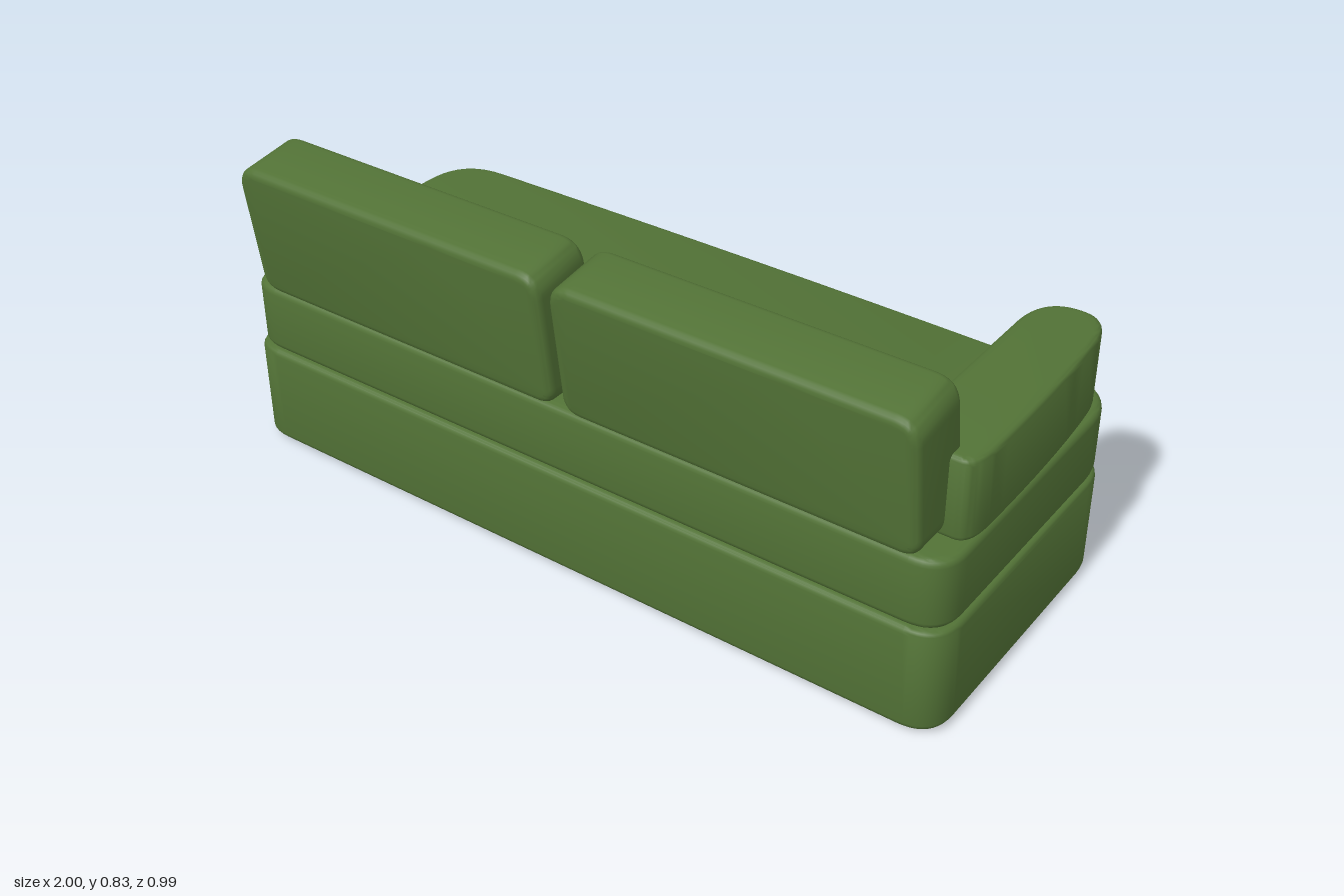
import * as THREE from 'three';
import { toCreasedNormals } from 'three/addons/utils/BufferGeometryUtils.js';

const fabric = new THREE.MeshStandardMaterial({ color: 0x527236 });
fabric.name = 'greenFabric';
const wood = new THREE.MeshStandardMaterial({ color: 0x704523 });
wood.name = 'brownWood';
const patchCloth = new THREE.MeshStandardMaterial({ color: 0xb9ab72 });
patchCloth.name = 'beigePatch';

function addMesh(parent, name, geometry, material) {
  const mesh = new THREE.Mesh(geometry, material);
  mesh.name = name;
  parent.add(mesh);
  return mesh;
}

function addBox(parent, name, material, [x0, x1], [y0, y1], [z0, z1]) {
  const mesh = addMesh(parent, name, new THREE.BoxGeometry(x1 - x0, y1 - y0, z1 - z0), material);
  mesh.position.set((x0 + x1) / 2, (y0 + y1) / 2, (z0 + z1) / 2);
}

// Rounded rectangle; lower and upper corner radii differ, the upper edge may bulge
function roundedRect(x0, x1, y0, y1, rLow, rHigh, bulge = 0) {
  const k = 0.35; // how far the corner handles stay from the sharp corner
  const s = new THREE.Shape();
  const yh = y1 - bulge;
  s.moveTo(x0 + rLow, y0);
  s.lineTo(x1 - rLow, y0);
  s.bezierCurveTo(x1 - rLow * k, y0, x1, y0 + rLow * k, x1, y0 + rLow);
  s.lineTo(x1, yh - rHigh);
  s.bezierCurveTo(x1, yh - rHigh * k, x1 - rHigh * k, yh, x1 - rHigh, yh);
  s.quadraticCurveTo((x0 + x1) / 2, yh + bulge * 2, x0 + rHigh, yh);
  s.bezierCurveTo(x0 + rHigh * k, yh, x0, yh - rHigh * k, x0, yh - rHigh);
  s.lineTo(x0, y0 + rLow);
  s.bezierCurveTo(x0, y0 + rLow * k, x0 + rLow * k, y0, x0 + rLow, y0);
  return s;
}

// Extrusion with soft edges, filling depth 0..depth
function softExtrude(shape, depth, bevel) {
  const g = new THREE.ExtrudeGeometry(shape, {
    depth: depth - 2 * bevel, curveSegments: 10,
    bevelEnabled: true, bevelSize: bevel, bevelOffset: -bevel,
    bevelThickness: bevel, bevelSegments: 4,
  });
  return g.translate(0, 0, bevel);
}

// Horizontal slab: shape y runs towards -z, depth runs upwards
function slab(shape, y0, y1, bevel) {
  const g = softExtrude(shape, y1 - y0, bevel).rotateX(-Math.PI / 2).translate(0, y0, 0);
  return toCreasedNormals(g, 0.7);
}

// Leaning back cushion, thicker at the bottom
function backCushion(x0, x1) {
  const height = 0.355;
  const g = softExtrude(roundedRect(x0, x1, 0, height, 0.05, 0.06), 1, 0.02);
  const p = g.attributes.position;
  for (let i = 0; i < p.count; i++) {
    const y = p.getY(i), t = y / height;
    let d = p.getZ(i);
    // Widen the bevel zone so it keeps its roundness in the thin cushion
    if (d < 0.02) d *= 5.5;
    else if (d > 0.98) d = 1 - (1 - d) * 5.5;
    else d = 0.11 + ((d - 0.02) / 0.96) * 0.78;
    const thickness = 0.188 - 0.015 * t;
    const outer = 0.45 + 0.045 * t;
    p.setXYZ(i, p.getX(i), 0.45 + y + 0.025 * (1 - d) * t, outer - thickness * (1 - d));
  }
  return toCreasedNormals(g, 0.7);
}

export function createModel() {
  const sofa = new THREE.Group();
  sofa.name = 'sofaBed';

  // Base and mattress
  addMesh(sofa, 'base', slab(roundedRect(-0.997, 0.997, -0.46, 0.34, 0.09, 0.12), 0.01, 0.279, 0.016), fabric);
  addMesh(sofa, 'mattress',
    slab(roundedRect(-0.99, 0.99, -0.45, 0.374, 0.09, 0.15, 0.009), 0.278, 0.457, 0.018), fabric);

  // Single armrest with a rounded end and a gently bowed outer side
  const arm = new THREE.Shape();
  arm.moveTo(0.83, -0.35);
  arm.lineTo(0.945, -0.35);
  arm.quadraticCurveTo(0.985, -0.35, 0.987, -0.27);
  arm.bezierCurveTo(0.99, -0.1, 0.985, 0.1, 0.97, 0.23);
  arm.bezierCurveTo(0.96, 0.3, 0.93, 0.322, 0.89, 0.322);
  arm.bezierCurveTo(0.83, 0.322, 0.79, 0.29, 0.787, 0.2);
  arm.lineTo(0.787, -0.3);
  arm.quadraticCurveTo(0.787, -0.35, 0.83, -0.35);
  addMesh(sofa, 'armrest', slab(arm, 0.45, 0.657, 0.016), fabric);

  // Back cushions
  addMesh(sofa, 'rightBackCushion', backCushion(-0.93, -0.015), fabric);
  addMesh(sofa, 'leftBackCushion', backCushion(0.01, 0.925), fabric);

  // Pulled-out drawer
  const drawer = new THREE.Group();
  drawer.name = 'drawer';
  sofa.add(drawer);
  addBox(drawer, 'drawerFront', wood, [-0.257, 0.867], [0, 0.205], [-0.495, -0.475]);
  addBox(drawer, 'drawerFloor', wood, [-0.25, 0.86], [0, 0.012], [-0.475, 0.08]);
  addBox(drawer, 'drawerBack', wood, [-0.25, 0.86], [0.012, 0.185], [0.065, 0.08]);
  for (const x of [-0.25, 0.845]) {
    addBox(drawer, 'drawerSide', wood, [x, x + 0.015], [0.012, 0.185], [-0.475, 0.065]);
  }

  // Cloth patches on the open end
  addBox(sofa, 'mattressPatch', patchCloth, [-0.996, -0.988], [0.305, 0.447], [-0.03, 0.1]);
  for (const z of [-0.25, 0.27]) {
    addBox(sofa, 'basePatch', patchCloth, [-1, -0.992], [0.04, 0.25], [z, z + 0.115]);
  }
  return sofa;
}
